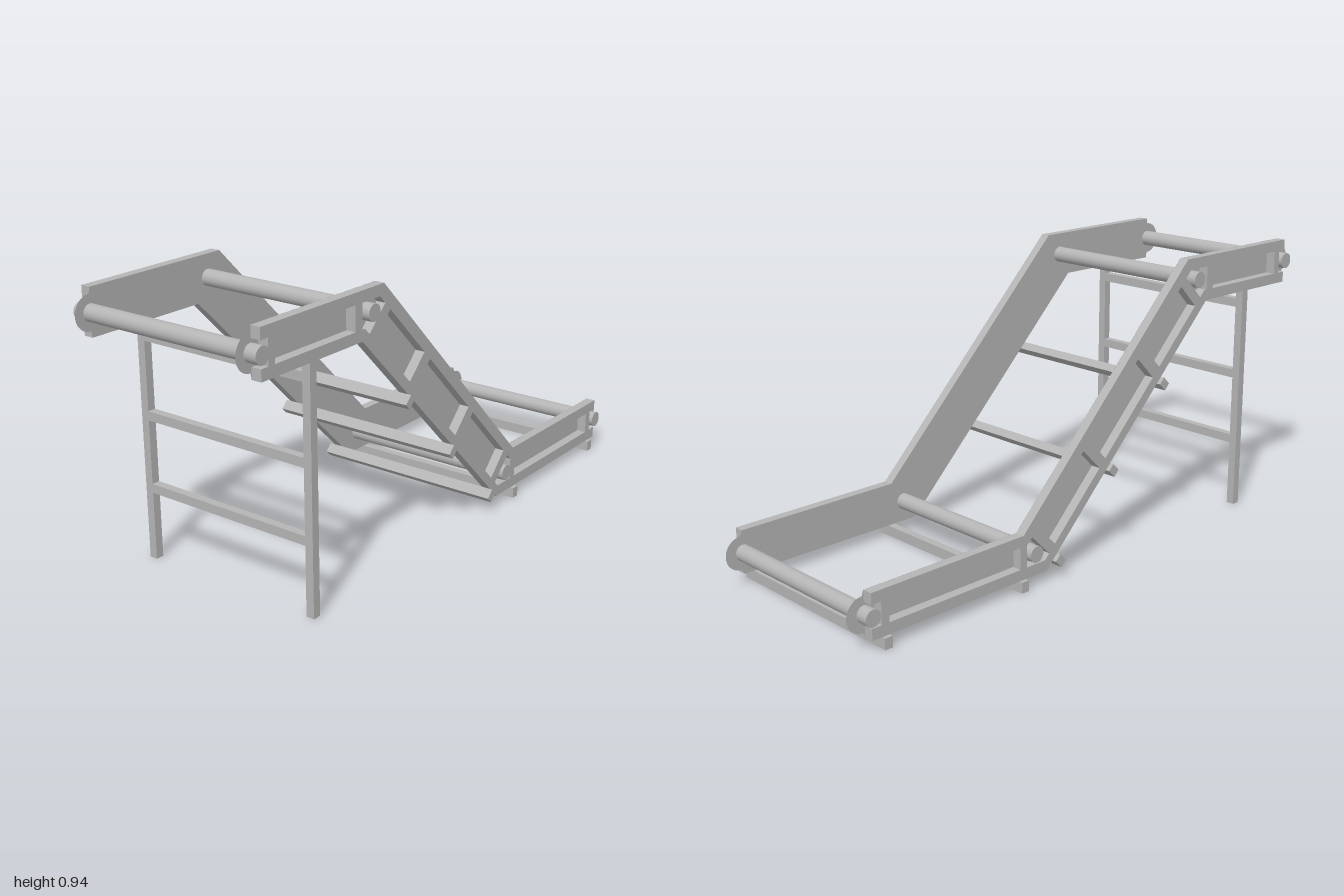
import * as THREE from 'three';

const IN = 0.304, OUT = 0.337;   // inner and outer x of the side frames
const R = 0.027;                 // roller radius

const steel = new THREE.MeshStandardMaterial({ color: 0xb4b4b4 });
steel.name = 'grey steel';
const sheet = new THREE.MeshStandardMaterial({ color: 0xb4b4b4, side: THREE.DoubleSide });
sheet.name = 'grey sheet steel';

const pts = (list) => list.map(([z, y]) => new THREE.Vector2(z, y));

// Point on the 45 degree incline: s = z + y (along), d = y - z (across)
const incline = (s, d) => [(s - d) / 2, (s + d) / 2];

// Rectangular pockets of the level sections and the incline
const level = (z0, z1, y0, y1) => [[z0, y0], [z1, y0], [z1, y1], [z0, y1]];
const LOW = 0.325, HIGH = 0.476;
const sloped = (s0, s1) => [incline(s0, LOW), incline(s1, LOW), incline(s1, HIGH), incline(s0, HIGH)];

// Frame outline in (z, y), with slots open at both ends for the end rollers
function frameShape() {
  const shape = new THREE.Shape(pts([
    [0.94, 0.785], [0.94, 0.821], [0.91, 0.821], [0.91, 0.9], [0.94, 0.9], [0.94, 0.936],
    [0.405, 0.936], [-0.345, 0.182],
    [-0.935, 0.182], [-0.935, 0.146], [-0.9, 0.146], [-0.9, 0.073], [-0.935, 0.073], [-0.935, 0.036],
    [-0.245, 0.036], [0.507, 0.785],
  ]));
  const pockets = [
    level(0.54, 0.885, 0.821, 0.9),
    [[0.508, 0.821], [0.508, 0.9], [0.424, 0.9], incline(1.274, HIGH), incline(1.274, LOW), [0.496, 0.821]],
    sloped(0.872, 1.224), sloped(0.364, 0.812), sloped(-0.092, 0.31),
    [incline(-0.142, LOW), [-0.252, 0.073], [-0.331, 0.073], [-0.331, 0.146], incline(-0.142, HIGH)],
    level(-0.872, -0.358, 0.073, 0.146),
  ];
  for (const p of pockets) shape.holes.push(new THREE.Path(pts(p)));
  return shape;
}

// Thin web behind the frame, with a rounded bearing tab at each end
function webShape() {
  const shape = new THREE.Shape();
  shape.moveTo(0.507, 0.785);
  shape.lineTo(0.94, 0.785);
  shape.absarc(0.944, 0.861, 0.056, -Math.PI / 2, Math.PI / 2, false);
  shape.lineTo(0.94, 0.936);
  shape.lineTo(0.405, 0.936);
  shape.lineTo(-0.345, 0.182);
  shape.lineTo(-0.935, 0.182);
  shape.absarc(-0.942, 0.108, 0.056, Math.PI / 2, Math.PI * 1.5, false);
  shape.lineTo(-0.935, 0.036);
  shape.lineTo(-0.245, 0.036);
  shape.closePath();
  return shape;
}

export function createModel() {
  const model = new THREE.Group();
  model.name = 'conveyorFrame';

  const add = (name, geometry, x, y, z, material = steel) => {
    const mesh = new THREE.Mesh(geometry, material);
    mesh.name = name;
    mesh.position.set(x, y, z);
    model.add(mesh);
    return mesh;
  };

  // Side frames: solid rim and ribs outside, thin web on the inner face
  const frame = new THREE.ExtrudeGeometry(frameShape(), { depth: OUT - IN, bevelEnabled: false });
  frame.rotateY(-Math.PI / 2);
  const web = new THREE.ShapeGeometry(webShape(), 24);
  web.rotateY(-Math.PI / 2);
  for (const [side, s] of [['left', 1], ['right', -1]]) {
    add(side + 'Frame', frame, s > 0 ? OUT : -IN, 0, 0);
    add(side + 'Web', web, s * (IN - 0.0005), 0, 0, sheet);
  }

  // Rollers at the ends and at both bends
  const roller = new THREE.CylinderGeometry(R, R, 0.69, 32);
  roller.rotateZ(Math.PI / 2);
  for (const [z, y] of [[0.942, 0.861], [0.46, 0.861], [-0.295, 0.108], [-0.935, 0.108]]) {
    add('roller', roller, 0, y, z);
  }

  // Cross bars under the incline
  const slopeBar = new THREE.BoxGeometry(0.7, 0.036, 0.028);
  for (let i = 0; i < 3; i++) {
    add('inclineCrossBar', slopeBar, 0, 0.54 - i * 0.241, 0.288 - i * 0.241).rotation.x = -Math.PI / 4;
  }

  // Foot bars under the lower section
  const footBar = new THREE.BoxGeometry(0.7, 0.036, 0.028);
  for (const z of [-0.35, -0.887]) add('footBar', footBar, 0, 0.018, z);

  // Legs with rungs under the raised end
  const leg = new THREE.BoxGeometry(0.028, 0.786, 0.028);
  for (const s of [1, -1]) add('leg', leg, s * 0.3205, 0.393, 0.726);
  const rung = new THREE.BoxGeometry(0.614, 0.03, 0.028);
  for (const y of [0.739, 0.484, 0.243]) add('rung', rung, 0, y, 0.726);

  return model;
}
